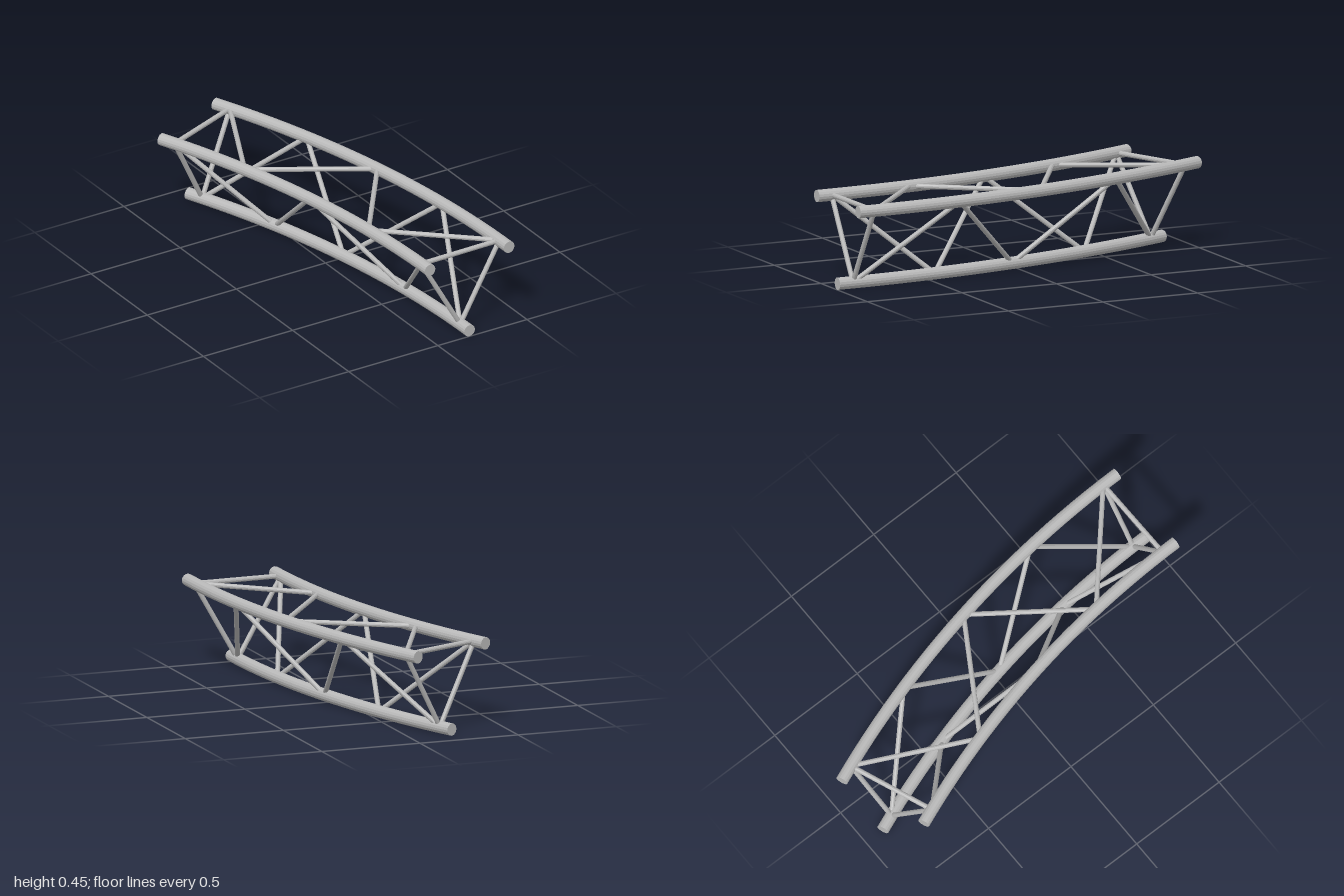
import * as THREE from 'three';

const DEG = Math.PI / 180;
const SWEEP = 22.5 * DEG;          // bend of the whole truss
const CENTRE_X = -4.796;           // bend centre, level with the front end
const CHORD_R = 0.03, BRACE_R = 0.012;

// The three main tubes: bend radius and height
const CHORDS = {
  outer: { radius: 5.196, y: 0.416 },
  inner: { radius: 4.752, y: 0.416 },
  bottom: { radius: 4.974, y: 0.031 },
};

function pointOn(chord, angle) {
  const { radius, y } = CHORDS[chord];
  return new THREE.Vector3(CENTRE_X + radius * Math.cos(angle), y, 1 - radius * Math.sin(angle));
}

class ChordCurve extends THREE.Curve {
  constructor(chord) {
    super();
    this.chord = chord;
  }
  getPoint(t, target = new THREE.Vector3()) {
    return target.copy(pointOn(this.chord, t * SWEEP));
  }
}

export function createModel() {
  const model = new THREE.Group();
  model.name = 'curvedTruss';
  const metal = new THREE.MeshStandardMaterial({ color: 0xb8b8b8, flatShading: true });
  metal.name = 'aluminium';

  // Curved main tubes with flat end caps
  for (const chord of Object.keys(CHORDS)) {
    const group = new THREE.Group();
    group.name = chord + 'Chord';
    const tube = new THREE.Mesh(
      new THREE.TubeGeometry(new ChordCurve(chord), 24, CHORD_R, 16), metal);
    tube.name = 'tube';
    group.add(tube);
    for (const [name, angle, turn] of [['frontCap', 0, 0], ['backCap', SWEEP, Math.PI]]) {
      const cap = new THREE.Mesh(new THREE.CircleGeometry(CHORD_R, 16), metal);
      cap.name = name;
      cap.position.copy(pointOn(chord, angle));
      cap.rotation.y = angle + turn;
      group.add(cap);
    }
    model.add(group);
  }

  // Thin rod between two points on the main tubes
  const up = new THREE.Vector3(0, 1, 0);
  function addBrace(name, a, b) {
    const along = b.clone().sub(a);
    const rod = new THREE.Mesh(
      new THREE.CylinderGeometry(BRACE_R, BRACE_R, along.length(), 12, 1, true), metal);
    rod.name = name;
    rod.position.copy(a).add(b).multiplyScalar(0.5);
    rod.quaternion.setFromUnitVectors(up, along.normalize());
    model.add(rod);
  }

  // Each face has a zigzag of four diagonals and a straight brace at both ends
  const nodes = [0.95, 6.1, 11.25, 16.4, 21.55].map((d) => d * DEG);
  for (const face of [['outer', 'inner'], ['inner', 'bottom'], ['bottom', 'outer']]) {
    for (let i = 0; i < 4; i++) {
      addBrace('diagonalBrace',
        pointOn(face[i % 2], nodes[i]), pointOn(face[(i + 1) % 2], nodes[i + 1]));
    }
    for (const end of [nodes[0], nodes[4]]) {
      addBrace('endBrace', pointOn(face[0], end), pointOn(face[1], end));
    }
  }
  return model;
}
